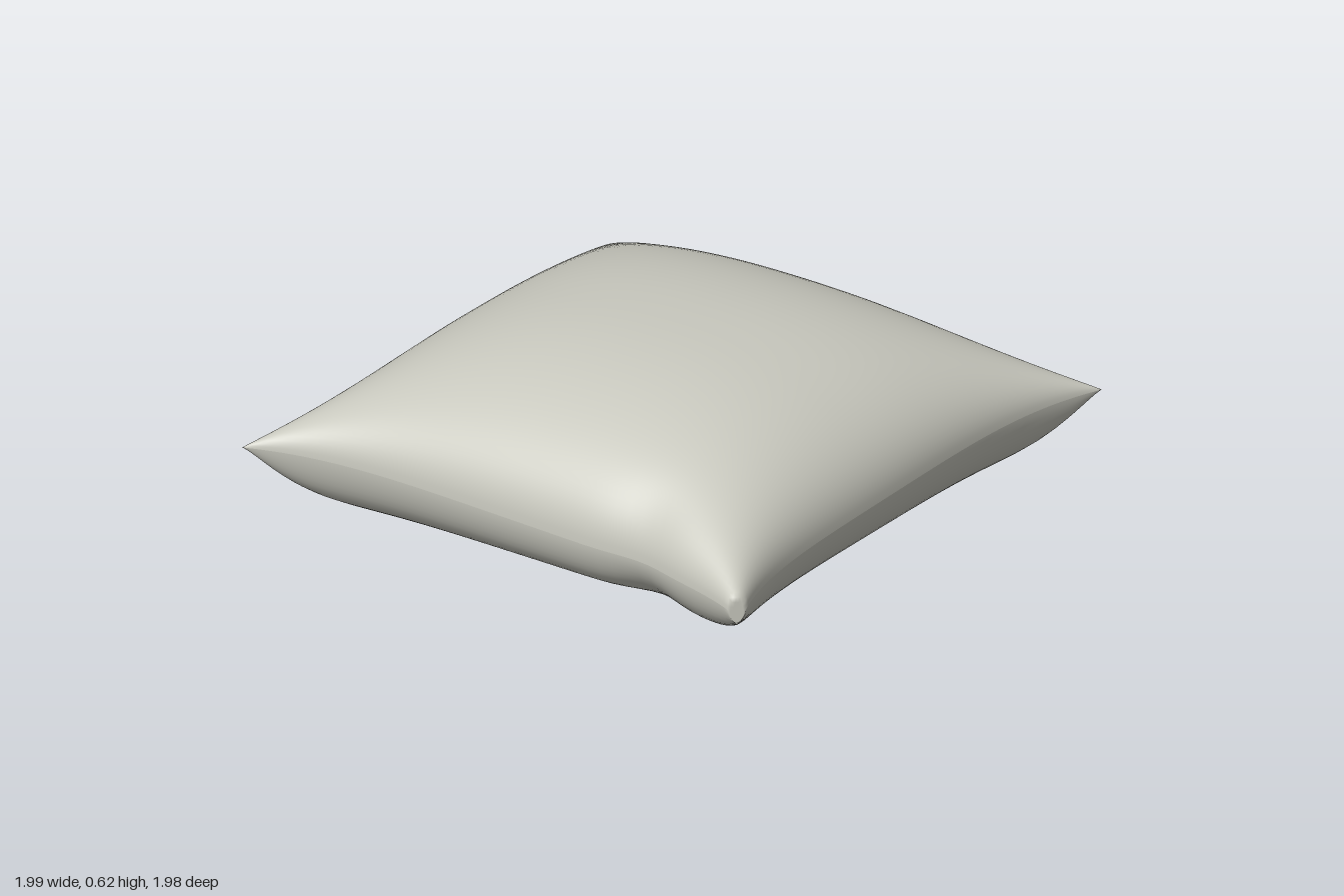
import * as THREE from 'three';

const N = 56; // grid divisions per side
const bump = (x, z, cx, cz, r) => Math.exp(-((x - cx) ** 2 + (z - cz) ** 2) / (r * r));

// One point of the cushion; u and v run from -1 to 1 across the cloth
function cushionPoint(u, v, upper) {
  // Outline: sides pulled in, corners drawn out to points
  let x = u * (0.872 + 0.123 * Math.abs(v) ** 4);
  let z = v * (0.868 + 0.122 * Math.abs(u) ** 4);

  // Seam is a little higher at the two sharp corners
  const seam = 0.213 - 0.027 * u * v;
  const dome = (t) => Math.max(0, 1 - Math.abs(t) ** 2.35) ** 0.48;
  const belly = (t) => Math.max(0, 1 - Math.abs(t) ** 11) ** 0.65;
  let y = upper
    ? seam + (0.62 - seam) * dome(u) * dome(v)
    : seam * (1 - belly(u) * belly(v));

  // Soft creases beside the two blunt corners
  const side = Math.sign(u + v);
  const dent = bump(x * side, z * side, 0.5, 0.85, 0.13);
  z -= side * 0.022 * dent;
  if (!upper) y += 0.035 * dent * belly(u) * belly(v);

  // Two opposite corners are folded blunt
  const over = Math.abs(x + z) - 1.87;
  if (over > 0) {
    x -= side * over / 2;
    z -= side * over / 2;
    y -= over * 0.5;
  }
  return [x, Math.max(0, y), z];
}

// Square sheet of cloth with rows packed closer near the seam
function clothSheet(upper) {
  const positions = [];
  const indices = [];
  const spread = (i) => Math.sin((i / N - 0.5) * Math.PI);
  for (let j = 0; j <= N; j++) {
    for (let i = 0; i <= N; i++) positions.push(...cushionPoint(spread(i), spread(j), upper));
  }
  for (let j = 0; j < N; j++) {
    for (let i = 0; i < N; i++) {
      const a = j * (N + 1) + i, b = a + 1, c = a + N + 1, d = c + 1;
      if (upper) indices.push(a, c, b, b, c, d);
      else indices.push(a, b, c, b, d, c);
    }
  }
  const geometry = new THREE.BufferGeometry();
  geometry.setAttribute('position', new THREE.Float32BufferAttribute(positions, 3));
  geometry.setIndex(indices);
  geometry.computeVertexNormals();
  return geometry;
}

export function createModel() {
  const group = new THREE.Group();
  group.name = 'cushion';
  const cloth = new THREE.MeshStandardMaterial({ color: 0xc8c8be });
  cloth.name = 'warm grey cloth';

  // Domed top and flattened underside meet in a crisp seam
  const top = new THREE.Mesh(clothSheet(true), cloth);
  top.name = 'cushionTop';
  const underside = new THREE.Mesh(clothSheet(false), cloth);
  underside.name = 'cushionUnderside';
  group.add(top, underside);
  return group;
}
